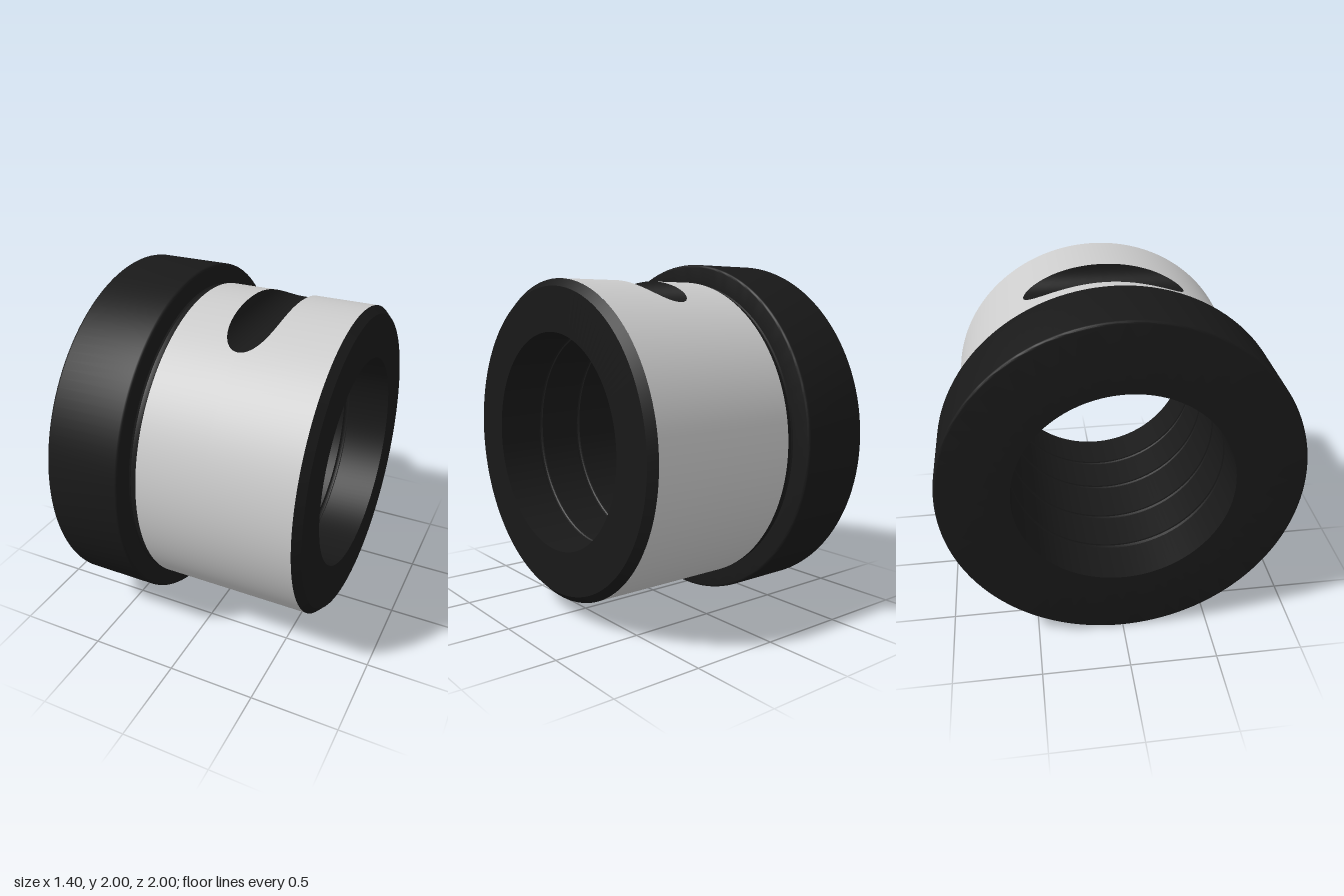
import * as THREE from 'three';
import { toCreasedNormals } from 'three/addons/utils/BufferGeometryUtils.js';

const BODY_R = 0.893, BORE_R = 0.607, FLANGE_R = 1;
const BODY_X0 = -0.22, BODY_X1 = 0.66, HALF = 0.7;
// Round cutter that mills the slot: runs along z at (SLOT_X, SLOT_H) from the axis
const SLOT_X = 0.17, SLOT_H = 0.9, SLOT_R = 0.135;
const SLOT_PHI = Math.acos((SLOT_H - SLOT_R) / BODY_R);
const SLOT_STEPS = 28;

const dark = new THREE.MeshStandardMaterial({ color: 0x191919 });
const steel = new THREE.MeshStandardMaterial({ color: 0xcccccc });

// Half-width of the slot at angle phi from the top of the body
function slotHalfWidth(phi) {
  if (Math.abs(phi) >= SLOT_PHI) return 0;
  const dh = BODY_R * Math.cos(phi) - SLOT_H;
  return Math.sqrt(Math.max(0, SLOT_R ** 2 - dh ** 2));
}

// Profile of [radius, x] points turned about the x axis
function turned(name, profile) {
  const points = profile.map(([r, x]) => new THREE.Vector2(r, x));
  const geometry = new THREE.LatheGeometry(points, 128);
  geometry.rotateZ(-Math.PI / 2);
  const mesh = new THREE.Mesh(toCreasedNormals(geometry, 0.5), dark);
  mesh.name = name;
  return mesh;
}

// Surface from a rule (i, j) -> [x, y, z]; faces towards di x dj
function grid(ni, nj, rule) {
  const positions = [], index = [];
  for (let j = 0; j <= nj; j++) {
    for (let i = 0; i <= ni; i++) {
      positions.push(...rule(i, j));
      if (i === ni || j === nj) continue;
      const a = j * (ni + 1) + i, b = a + 1, c = a + ni + 1, d = c + 1;
      index.push(a, b, d, a, d, c);
    }
  }
  const geometry = new THREE.BufferGeometry();
  geometry.setAttribute('position', new THREE.Float32BufferAttribute(positions, 3));
  geometry.setIndex(index);
  geometry.computeVertexNormals();
  return geometry;
}

// Angles round the body, tightened near the ends of the slot
function bodyAngles() {
  const angles = [], rest = 56;
  for (let i = 0; i < rest; i++) angles.push(-Math.PI + (Math.PI - SLOT_PHI) * i / rest);
  for (let i = -SLOT_STEPS; i <= SLOT_STEPS; i++) {
    angles.push(SLOT_PHI * Math.sin(Math.PI / 2 * i / SLOT_STEPS));
  }
  for (let i = 1; i <= rest; i++) angles.push(SLOT_PHI + (Math.PI - SLOT_PHI) * i / rest);
  return angles;
}

// Outer skin on one side of the slot, with radial normals
function barrelSide(side) {
  const angles = bodyAngles();
  const geometry = grid(1, angles.length - 1, (i, j) => {
    const phi = angles[j];
    const edge = SLOT_X + side * slotHalfWidth(phi);
    const x = side < 0 ? [BODY_X0, edge][i] : [edge, BODY_X1][i];
    return [x, BODY_R * Math.cos(phi), -BODY_R * Math.sin(phi)];
  });
  const p = geometry.attributes.position, n = geometry.attributes.normal;
  for (let k = 0; k < p.count; k++) n.setXYZ(k, 0, p.getY(k) / BODY_R, p.getZ(k) / BODY_R);
  const mesh = new THREE.Mesh(geometry, steel);
  mesh.name = side < 0 ? 'barrelFlangeSide' : 'barrelEndSide';
  return mesh;
}

// Rounded floor of the slot, ending where it leaves the barrel
function slotFloor() {
  const geometry = grid(2 * SLOT_STEPS, 8, (i, j) => {
    const s = i / SLOT_STEPS - 1;
    const phi = SLOT_PHI * Math.cos(Math.PI / 2 * s);
    const z = BODY_R * Math.sin(phi) * (1 - j / 4);
    return [SLOT_X + Math.sign(s) * slotHalfWidth(phi), BODY_R * Math.cos(phi), z];
  });
  const mesh = new THREE.Mesh(geometry, dark);
  mesh.name = 'slotFloor';
  return mesh;
}

// Bore with four shallow ring grooves
function bore() {
  const profile = [[BORE_R, HALF]];
  for (const x of [0.43, 0.155, -0.155, -0.43]) {
    for (let k = 0; k <= 6; k++) {
      const a = Math.PI * k / 6;
      profile.push([BORE_R + 0.016 * Math.sin(a), x + 0.016 * Math.cos(a)]);
    }
  }
  profile.push([BORE_R, -HALF]);
  return turned('bore', profile);
}

export function createModel() {
  const bushing = new THREE.Group();
  bushing.name = 'flangedBushing';

  // Flange with softened rims
  const rim = 0.015, profile = [[BORE_R, -HALF]];
  for (let k = 0; k <= 4; k++) {
    const a = Math.PI / 2 * k / 4;
    profile.push([FLANGE_R - rim + rim * Math.sin(a), -HALF + rim - rim * Math.cos(a)]);
  }
  for (let k = 0; k <= 4; k++) {
    const a = Math.PI / 2 * k / 4;
    profile.push([FLANGE_R - rim + rim * Math.cos(a), -0.265 - rim + rim * Math.sin(a)]);
  }
  profile.push([0.885, -0.265]);

  bushing.add(
    turned('flange', profile),
    turned('reliefGroove', [[0.885, -0.265], [0.879, -0.257], [0.879, -0.235], [0.884, -0.225], [BODY_R, BODY_X0]]),
    barrelSide(-1),
    barrelSide(1),
    slotFloor(),
    turned('chamferedEnd', [[BODY_R, BODY_X1], [0.853, HALF], [BORE_R, HALF]]),
    bore()
  );
  bushing.position.y = FLANGE_R;

  const model = new THREE.Group();
  model.add(bushing);
  return model;
}
